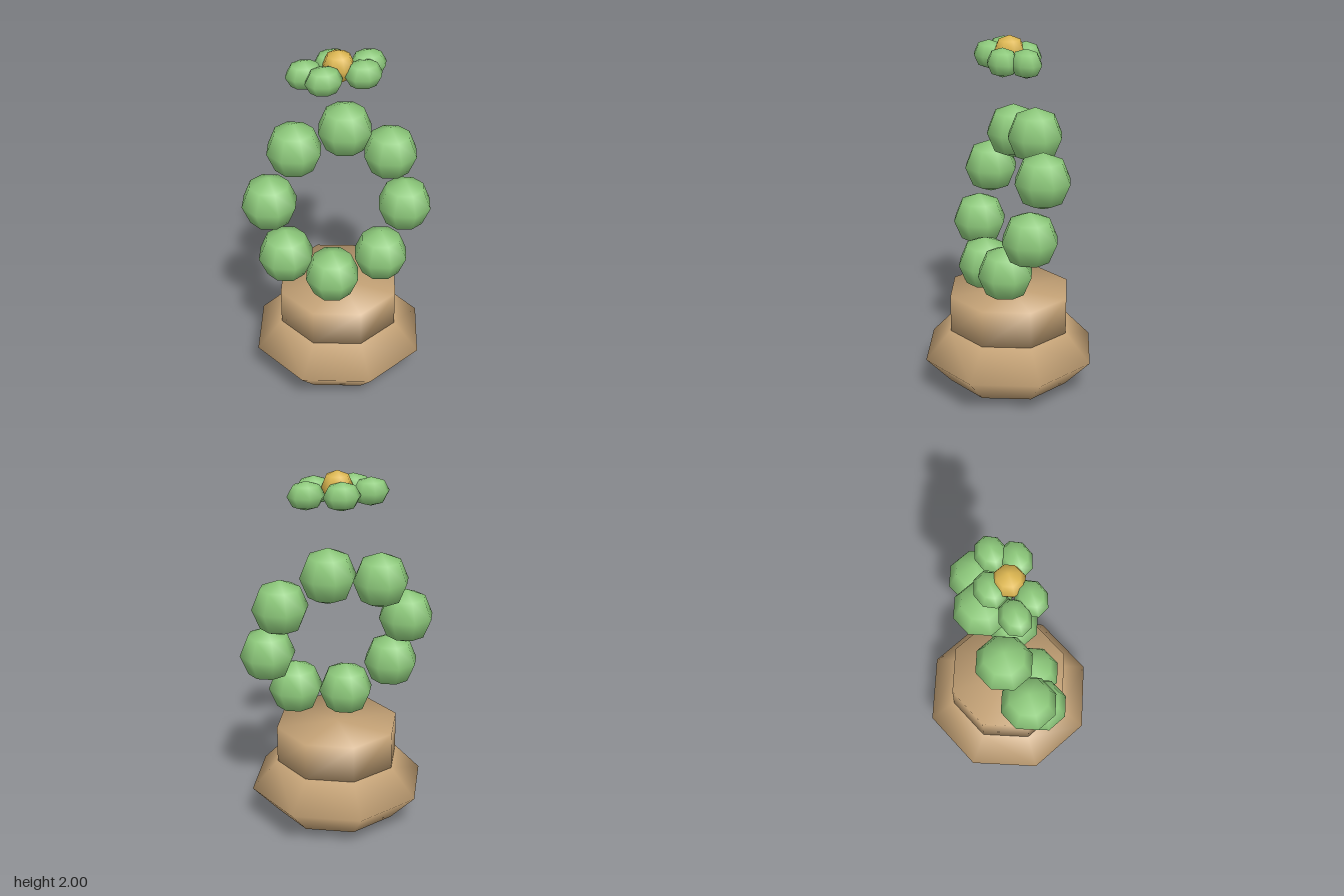
import * as THREE from 'three';
import { mergeVertices } from 'three/addons/utils/BufferGeometryUtils.js';

const material = (name, color) => {
  const m = new THREE.MeshStandardMaterial({ color });
  m.name = name;
  return m;
};

export function createModel() {
  const model = new THREE.Group();
  model.name = 'pottedWreath';
  const clay = material('clay', 0xc4a276);
  const leaf = material('leaf green', 0x8cc87a);
  const gold = material('gold', 0xdcb650);

  // Low-poly ball, stretched per axis
  const ball = new THREE.SphereGeometry(1, 8, 4);
  const addBall = (parent, name, mat, pos, radii) => {
    const mesh = new THREE.Mesh(ball, mat);
    mesh.name = name;
    mesh.position.set(...pos);
    mesh.scale.set(...radii);
    parent.add(mesh);
  };

  // Pot: squashed bowl with a soft-shaded eight-sided neck
  addBall(model, 'potBowl', clay, [0, 0.222, 0], [0.488, 0.22, 0.488]);
  let neckGeo = new THREE.CylinderGeometry(0.342, 0.342, 0.21, 8);
  neckGeo.deleteAttribute('normal');
  neckGeo.deleteAttribute('uv');
  neckGeo = mergeVertices(neckGeo);
  neckGeo.computeVertexNormals();
  const neck = new THREE.Mesh(neckGeo, clay);
  neck.name = 'potNeck';
  neck.position.y = 0.48;
  model.add(neck);

  // Wreath: eight balls on a ring leaning backwards
  const wreath = new THREE.Group();
  wreath.name = 'wreath';
  for (let i = 0; i < 8; i++) {
    const a = THREE.MathUtils.degToRad(-12 + 45 * i);
    const pos = [0.387 * Math.cos(a), 1.1 + 0.386 * Math.sin(a), -0.117 * Math.sin(a)];
    addBall(wreath, 'wreathBall', leaf, pos, [0.152, 0.152, 0.152]);
  }
  model.add(wreath);

  // Flower floating above: five petals around a gold centre
  const flower = new THREE.Group();
  flower.name = 'flower';
  for (let i = 0; i < 5; i++) {
    const a = (i / 5) * Math.PI * 2;
    const pos = [0.18 * Math.sin(a), 1.885, -0.092 * Math.cos(a)];
    addBall(flower, 'petal', leaf, pos, [0.1, 0.076, 0.082]);
  }
  addBall(flower, 'flowerCentre', gold, [0, 1.915, 0], [0.085, 0.085, 0.085]);
  model.add(flower);

  return model;
}
